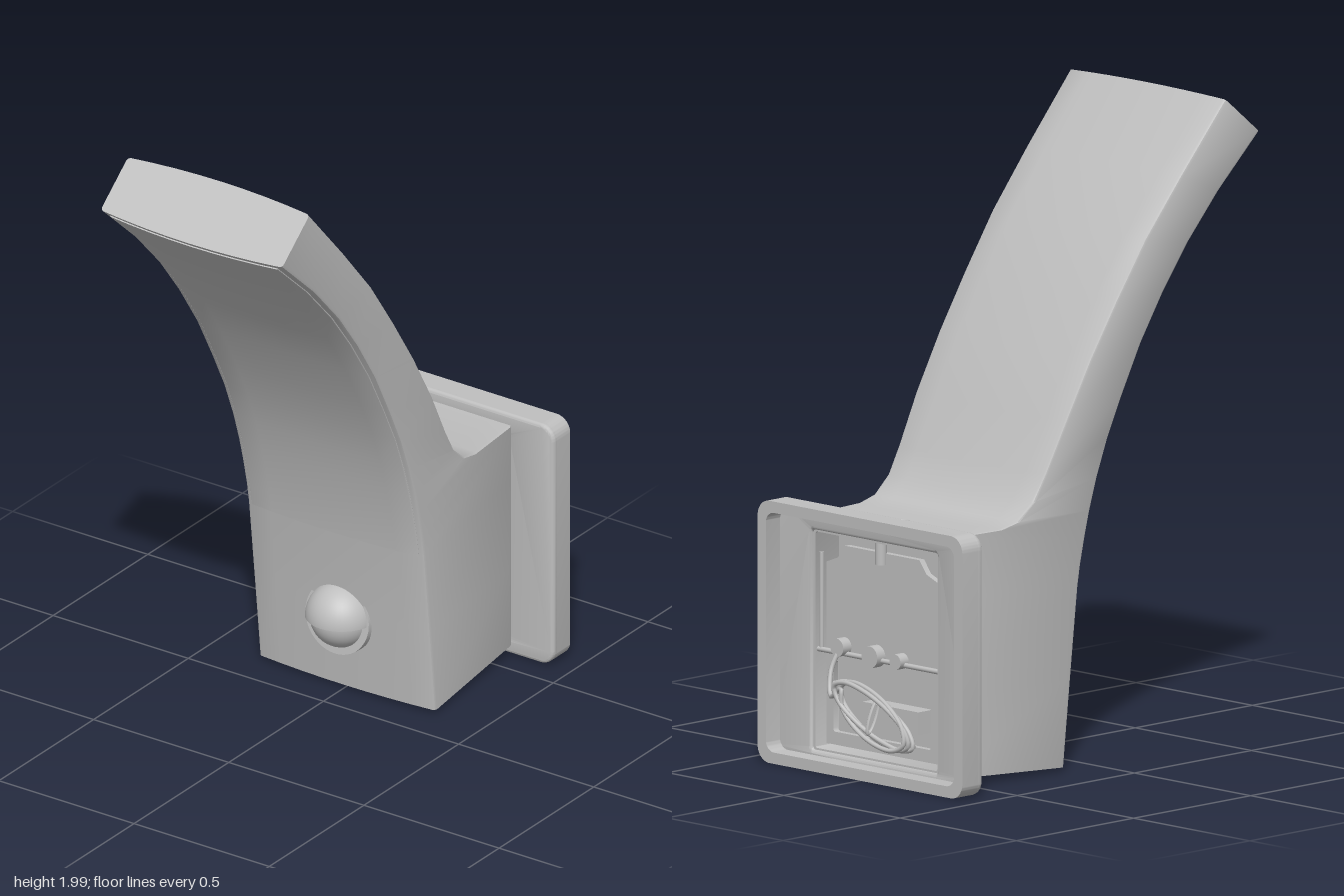
import * as THREE from 'three';
import { toCreasedNormals } from 'three/addons/utils/BufferGeometryUtils.js';

// Side stations of the body, bottom to top: front z, front y, back z, back y
const STATIONS = [
  [-0.11, 0.02, -0.59, 0.04], [-0.08, 0.3, -0.59, 0.3], [-0.05, 0.57, -0.59, 0.6],
  [-0.04, 0.63, -0.59, 0.785], [-0.02, 0.72, -0.38, 0.785], [0, 0.8, -0.31, 0.8],
  [0.03, 0.9, -0.26, 0.85], [0.075, 1.02, -0.21, 0.93], [0.135, 1.14, -0.13, 1.085],
  [0.215, 1.29, -0.03, 1.26], [0.31, 1.435, 0.08, 1.43], [0.41, 1.565, 0.2, 1.605],
  [0.54, 1.705, 0.35, 1.785], [0.71, 1.86, 0.54, 2.0],
];
const BOW = 0.016;

// Half width of the body at depth z
const bodyWidth = (z) => (z < -0.13
  ? THREE.MathUtils.mapLinear(z, -0.59, -0.13, 0.285, 0.325)
  : Math.min(0.336, 0.325 + (z + 0.13) * 0.018));

// Skin over cross-sections that are bowed front and back, with small round corners
function loft(stations, width, r, openRows = 0) {
  const pos = [], idx = [];
  const us = [-1, -0.75, -0.5, -0.25, 0, 0.25, 0.5, 0.75, 1];
  const n = us.length + 4, m = n * 2;
  for (const [fz, fy, bz, by] of stations) {
    const len = Math.hypot(fz - bz, fy - by);
    const dz = (fz - bz) / len, dy = (fy - by) / len;
    const row = (z, y, s) => {
      const hw = width(z), bow = s < 0 && z < -0.3 ? 0 : BOW;
      const pts = [[-hw, r], [-hw + 0.3 * r, 0.3 * r],
        ...us.map((u) => [u * (hw - r), 0]), [hw - 0.3 * r, 0.3 * r], [hw, r]];
      for (const [x, inset] of pts) {
        const d = -s * (inset + bow * (x / 0.33) ** 2);
        pos.push(s * x, y + dy * d, z + dz * d);
      }
    };
    row(fz, fy, 1);
    row(bz, by, -1);
  }
  const last = (stations.length - 1) * m;
  for (let i = 0; i < stations.length - 1; i++) {
    for (let j = 0; j < m; j++) {
      if (i < openRows && j >= n + 2 && j < m - 3) continue;
      const a = i * m + j, b = i * m + (j + 1) % m;
      idx.push(a, b, b + m, a, b + m, a + m);
    }
  }
  for (let j = 1; j < m - 1; j++) {
    idx.push(0, j + 1, j, last, last + j, last + j + 1);
  }
  const g = new THREE.BufferGeometry();
  g.setAttribute('position', new THREE.Float32BufferAttribute(pos, 3));
  g.setIndex(idx);
  return toCreasedNormals(g, 0.6);
}

// Body station interpolated at a front height
function stationAt(y) {
  const i = Math.max(1, STATIONS.findIndex((s) => s[1] >= y));
  const a = STATIONS[i - 1], b = STATIONS[i];
  const t = (y - a[1]) / (b[1] - a[1]);
  return a.map((v, k) => v + (b[k] - v) * t);
}

// Rounded rectangle, centred on x = 0
function roundRect(hw, y0, y1, r, Type = THREE.Shape) {
  const s = new Type();
  s.absarc(hw - r, y0 + r, r, -Math.PI / 2, 0);
  s.absarc(hw - r, y1 - r, r, 0, Math.PI / 2);
  s.absarc(-hw + r, y1 - r, r, Math.PI / 2, Math.PI);
  s.absarc(-hw + r, y0 + r, r, Math.PI, Math.PI * 1.5);
  s.closePath();
  return s;
}

function plate(shape, hole, z0, z1, bevel = 0) {
  if (hole) shape.holes.push(hole);
  const g = new THREE.ExtrudeGeometry(shape, {
    depth: z1 - z0 - 2 * bevel, bevelEnabled: bevel > 0, bevelSize: bevel,
    bevelThickness: bevel, bevelOffset: -bevel, bevelSegments: 3, curveSegments: 8,
  });
  g.translate(0, 0, z0 + bevel);
  return toCreasedNormals(g, 0.6);
}

export function createModel() {
  const group = new THREE.Group();
  const grey = new THREE.MeshStandardMaterial({ color: 0xbfbfbf });
  grey.name = 'grey';
  const add = (name, geometry, x = 0, y = 0, z = 0) => {
    const mesh = new THREE.Mesh(geometry, grey);
    mesh.name = name;
    mesh.position.set(x, y, z);
    group.add(mesh);
    return mesh;
  };

  // Curved lamp body, open at the back of its base
  add('lampBody', loft(STATIONS, bodyWidth, 0.01, 3));

  // Curved light panel set on the front of the arm
  const heights = [0.565, ...STATIONS.map((s) => s[1]).filter((y) => y > 0.6 && y < 1.8), 1.845];
  const panel = heights.map((y) => {
    const [fz, fy, bz, by] = stationAt(y);
    const len = Math.hypot(fz - bz, fy - by), dz = (fz - bz) / len, dy = (fy - by) / len;
    return [fz + dz * 0.004, fy + dy * 0.004, fz - dz * 0.03, fy - dy * 0.03];
  });
  add('lightPanel', loft(panel, () => 0.31, 0.004));

  // Motion sensor: collar, upper hood and smaller lower lens
  const collar = add('sensorCollar', new THREE.CylinderGeometry(0.117, 0.117, 0.07, 48), 0, 0.26, -0.107);
  collar.rotation.x = Math.PI / 2 - 0.1;
  const hood = new THREE.SphereGeometry(0.112, 40, 16, 0, Math.PI * 2, 0, Math.PI / 2);
  add('sensorHood', hood, 0, 0.262, -0.097);
  const underside = add('sensorHoodUnderside', new THREE.CircleGeometry(0.112, 40), 0, 0.262, -0.097);
  underside.rotation.x = Math.PI / 2;
  add('sensorLens', new THREE.SphereGeometry(0.098, 40, 24), 0, 0.262, -0.097);

  // Wall plate: front face with opening, and rim around the back
  add('wallPlateFace', plate(roundRect(0.44, 0.01, 0.82, 0.05),
    roundRect(0.27, 0.06, 0.74, 0.01, THREE.Path), -0.615, -0.586, 0.01));
  add('wallPlateRim', plate(roundRect(0.44, 0.01, 0.82, 0.05),
    roundRect(0.405, 0.045, 0.785, 0.035, THREE.Path), -0.675, -0.598));

  // Cavity inside the base
  add('cavityWalls', plate(roundRect(0.272, 0.058, 0.742, 0.01),
    roundRect(0.262, 0.066, 0.734, 0.008, THREE.Path), -0.605, -0.5));
  add('cavityBack', new THREE.BoxGeometry(0.54, 0.68, 0.01), 0, 0.4, -0.5);

  // Mounting bracket with clipped top corners and a window for the wiring
  const bracket = new THREE.Shape();
  [[-0.24, 0.08], [0.24, 0.08], [0.24, 0.64], [0.19, 0.66], [0.16, 0.7], [-0.16, 0.7],
    [-0.19, 0.66], [-0.24, 0.64]].forEach(([x, y], i) => (i ? bracket.lineTo(x, y) : bracket.moveTo(x, y)));
  add('mountingBracket', plate(bracket, roundRect(0.21, 0.12, 0.34, 0.01, THREE.Path), -0.58, -0.56));
  add('terminalBlock', new THREE.BoxGeometry(0.24, 0.07, 0.06), -0.02, 0.19, -0.535);
  const rod = add('crossRod', new THREE.CylinderGeometry(0.008, 0.008, 0.54, 10), 0, 0.37, -0.592);
  rod.rotation.z = Math.PI / 2;
  const sideBar = add('sideBar', new THREE.CylinderGeometry(0.007, 0.007, 0.3, 10), 0.25, 0.52, -0.59);
  sideBar.rotation.x = 0;

  // Bracket screws and locating post
  for (const [x, y, r] of [[0.16, 0.39, 0.028], [0.02, 0.38, 0.034], [-0.09, 0.38, 0.024]]) {
    const screw = add('bracketScrew', new THREE.CylinderGeometry(r, r, 0.04, 20), x, y, -0.595);
    screw.rotation.x = Math.PI / 2;
  }
  add('locatingPost', new THREE.CylinderGeometry(0.018, 0.018, 0.07, 16), 0, 0.7, -0.585);

  // Fixing screws on the top and bottom of the base
  for (const [y, side] of [[0.785, 1], [0.036, -1]]) {
    add('fixingScrew', new THREE.CylinderGeometry(0.02, 0.02, 0.008, 20), 0, y, -0.5);
    const ring = add('fixingScrewRing', new THREE.TorusGeometry(0.024, 0.004, 8, 24), 0, y + side * 0.001, -0.5);
    ring.rotation.x = Math.PI / 2;
  }

  // Coiled cable: slanted loops, then a lead back to the bracket
  const path = [];
  for (let i = 0; i <= 30; i++) {
    const a = (i / 10) * Math.PI * 2, k = 1 - i * 0.006;
    const u = Math.cos(a) * 0.185 * k, v = Math.sin(a) * (0.05 + 0.0008 * i);
    path.push(new THREE.Vector3(-0.07 + u * 0.9 - v * 0.43, 0.22 + u * 0.43 + v * 0.9,
      -0.69 + 0.012 * Math.sin(a * 0.67)));
  }
  path.push(new THREE.Vector3(0.14, 0.25, -0.66), new THREE.Vector3(0.17, 0.32, -0.63),
    new THREE.Vector3(0.16, 0.39, -0.6));
  add('cable', new THREE.TubeGeometry(new THREE.CatmullRomCurve3(path), 200, 0.0075, 8));
  const tie = add('cableTie', new THREE.TorusGeometry(0.045, 0.006, 8, 20), -0.07, 0.22, -0.69);
  tie.rotation.set(0, Math.PI / 2, 0.4);
  tie.scale.set(0.3, 1.2, 1);

  return group;
}
